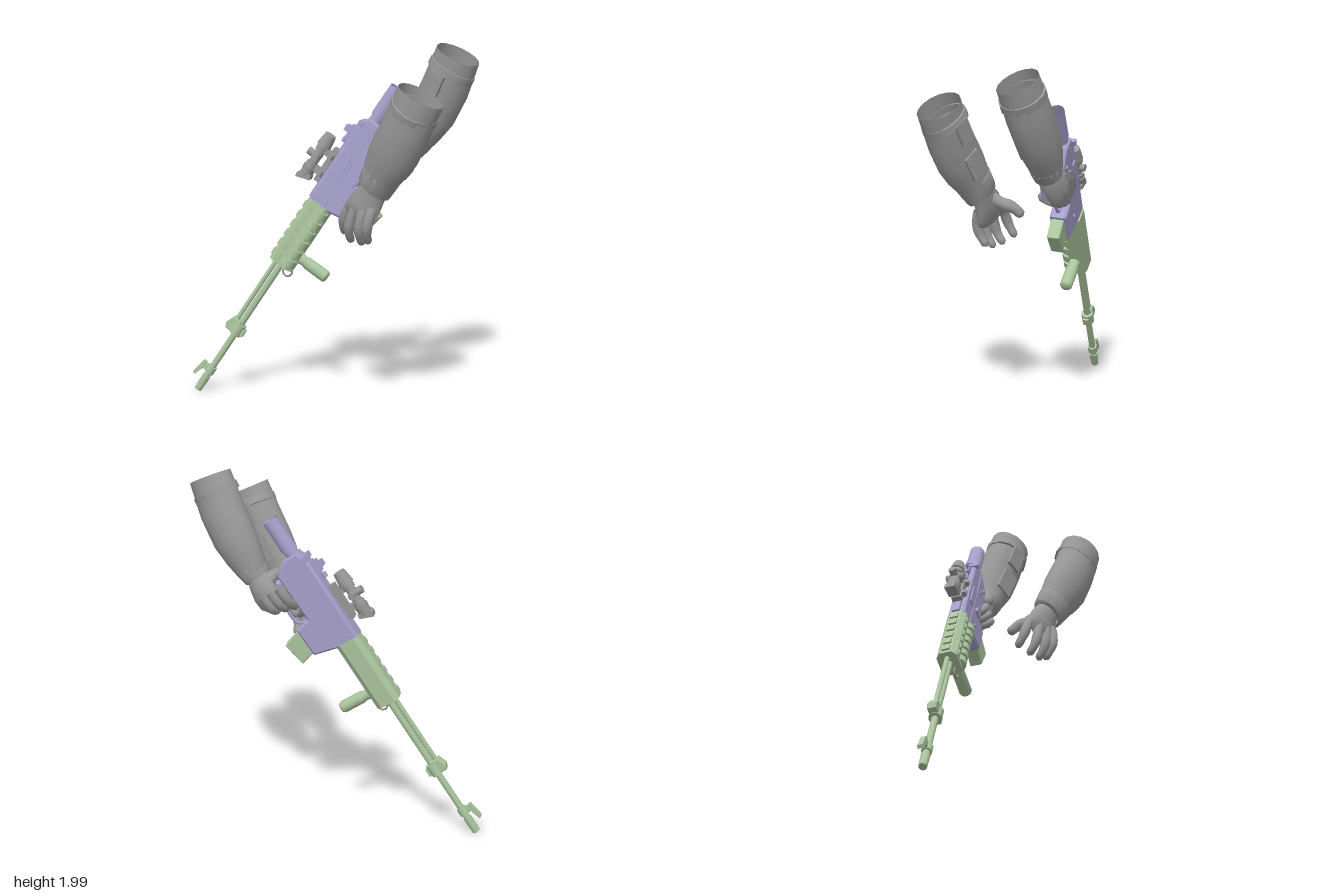
import * as THREE from 'three';
import { toCreasedNormals } from 'three/addons/utils/BufferGeometryUtils.js';

const V = (x, y, z) => new THREE.Vector3(x, y, z);

export function createModel() {
  const root = new THREE.Group();
  const mat = (name, color) => new THREE.MeshStandardMaterial({ name, color, side: THREE.DoubleSide });
  const green = mat('paleGreen', 0xabc59e);
  const violet = mat('paleViolet', 0xa7a1cc);
  const grey = mat('grey', 0x999999);

  // Rifle frame: x runs from the muzzle to the rear, y is the sight side, z the near side
  const gun = new THREE.Group();
  gun.name = 'rifle';
  const back = V(0.4846, 0.837, -0.2545).normalize();
  const side = back.clone().cross(V(-0.79, 0.545, 0.285)).normalize();
  const up = side.clone().cross(back);
  gun.applyMatrix4(new THREE.Matrix4().makeBasis(back, up, side).setPosition(-0.76, 0.02, 0.33));
  root.add(gun);

  const add = (parent, name, geo, m) => {
    const mesh = new THREE.Mesh(geo, m);
    mesh.name = name;
    parent.add(mesh);
    return mesh;
  };
  const box = (name, m, u0, u1, v0, v1, w0, w1) =>
    add(gun, name, new THREE.BoxGeometry(u1 - u0, v1 - v0, w1 - w0)
      .translate((u0 + u1) / 2, (v0 + v1) / 2, (w0 + w1) / 2), m);
  const rod = (name, m, u0, u1, v, r0, r1 = r0, w = 0, open = false) =>
    add(gun, name, new THREE.CylinderGeometry(r0, r1, u1 - u0, 16, 1, open)
      .rotateZ(Math.PI / 2).translate((u0 + u1) / 2, v, w), m);
  const outline = pts => new THREE.Shape(pts.map(p => new THREE.Vector2(...p)));
  const slab = (name, m, pts, half, bevel = 0) =>
    add(gun, name, toCreasedNormals(new THREE.ExtrudeGeometry(outline(pts), {
      depth: 2 * (half - bevel), bevelEnabled: bevel > 0, bevelSize: bevel, bevelThickness: bevel,
      bevelOffset: -bevel, bevelSegments: 1,
    }).translate(0, 0, bevel - half), 0.5), m);

  // Skin over oval rings [x, y, z, ra, rb]; rb lies towards ref
  function loft(parent, name, m, rings, ref = V(0, 0, 1), n = 14) {
    const pos = [], idx = [];
    const c = rings.map(r => V(r[0], r[1], r[2]));
    rings.forEach((r, i) => {
      const d = c[Math.min(i + 1, c.length - 1)].clone().sub(c[Math.max(i - 1, 0)]).normalize();
      const p = d.clone().cross(ref).normalize();
      const b = p.clone().cross(d);
      for (let j = 0; j < n; j++) {
        const a = (j / n) * Math.PI * 2;
        const q = c[i].clone().addScaledVector(p, r[3] * Math.cos(a)).addScaledVector(b, r[4] * Math.sin(a));
        pos.push(q.x, q.y, q.z);
        if (i < rings.length - 1) {
          const k = i * n + j, l = i * n + (j + 1) % n;
          idx.push(k, k + n, l, l, k + n, l + n);
        }
      }
    });
    const g = new THREE.BufferGeometry();
    g.setAttribute('position', new THREE.Float32BufferAttribute(pos, 3));
    g.setIndex(idx);
    g.computeVertexNormals();
    return add(parent, name, toCreasedNormals(g, 0.9), m);
  }
  // Tapered finger with a rounded tip and a slight swelling at the joints
  function finger(parent, name, pts, r, ref) {
    const curve = new THREE.CatmullRomCurve3(pts.map(p => V(...p)));
    const rings = [0, 0.12, 0.25, 0.38, 0.5, 0.62, 0.75, 0.87, 0.95, 1].map((t, i) => {
      const p = curve.getPointAt(t);
      const k = i === 9 ? 0.003 : r * (1 - 0.25 * t) * (i === 8 ? 0.8 : 1 + 0.08 * Math.cos(t * 12));
      return [p.x, p.y, p.z, k, k];
    });
    loft(parent, name, grey, rings, ref, 10);
  }
  // Raised strap around the forearm
  function band(parent, name, c, dir, ra, rb, h) {
    const d = V(...dir).normalize();
    const ring = (t, k) => [c[0] + d.x * t, c[1] + d.y * t, c[2] + d.z * t, ra * k, rb * k];
    loft(parent, name, grey, [ring(-h, 0.9), ring(-h * 0.95, 1), ring(h * 0.95, 1), ring(h, 0.9)]);
  }

  // Muzzle, barrel and gas tube
  rod('muzzleBrake', green, -0.012, 0.085, 0, 0.021, 0.024);
  rod('barrel', green, 0.08, 0.92, 0, 0.018);
  rod('gasTube', green, 0.42, 0.92, 0.034, 0.013);
  rod('frontCollar', green, 0.105, 0.15, 0, 0.027);
  box('frontSightBase', green, 0.11, 0.145, 0, 0.05, -0.012, 0.012);
  slab('frontSight', green, [[0.05, 0.062], [0.06, 0.078], [0.15, 0.062], [0.15, 0.045], [0.1, 0.045]], 0.014);
  rod('gasBlock', green, 0.385, 0.455, 0, 0.034);
  slab('gasBlockTop', green, [[0.39, 0], [0.39, 0.062], [0.42, 0.074], [0.47, 0.055], [0.47, 0]], 0.024, 0.005);
  box('gasBlockLug', green, 0.395, 0.44, -0.045, 0, -0.016, 0.016);

  // Handguard with chamfered section, rail teeth, vents and ribs
  const guard = outline([[-0.055, -0.042], [-0.055, 0.045], [-0.032, 0.07], [0.032, 0.07],
    [0.055, 0.045], [0.055, -0.042], [0.03, -0.07], [-0.03, -0.07]]);
  add(gun, 'handguard', new THREE.ExtrudeGeometry(guard, { depth: 0.41, bevelEnabled: false })
    .rotateY(Math.PI / 2).translate(0.88, 0, 0), green);
  for (let i = 0; i < 6; i++) {
    const u = 0.9 + i * 0.064;
    box('railTooth', green, u, u + 0.036, 0.068, 0.08, -0.022, 0.022);
    box('ventPlate', green, u, u + 0.045, 0.018, 0.036, 0.05, 0.062);
    add(gun, 'handguardRib', new THREE.CylinderGeometry(0.042, 0.042, 0.042, 12)
      .rotateZ(Math.PI / 2).translate(u + 0.025, -0.033, 0.034), green);
  }
  const loop = add(gun, 'slingLoop', new THREE.TorusGeometry(0.026, 0.006, 6, 14), grey);
  loop.position.set(0.87, -0.055, 0.02);
  add(gun, 'foregrip', new THREE.LatheGeometry([[0, -0.255], [0.026, -0.252], [0.034, -0.24],
    [0.034, -0.12], [0.028, -0.1], [0.034, -0.06]].map(p => new THREE.Vector2(...p)), 16)
    .translate(0.97, 0, 0), green);

  // Receiver, magazine well and magazine
  slab('receiver', violet, [[1.28, -0.06], [1.31, -0.2], [1.475, -0.205], [1.495, -0.118], [1.77, -0.125],
    [1.835, -0.045], [1.835, 0.04], [1.76, 0.066], [1.28, 0.066]], 0.046, 0.01);
  box('upperRail', violet, 1.29, 1.76, 0.06, 0.08, -0.02, 0.02);
  box('receiverSeam', violet, 1.3, 1.82, -0.028, -0.018, -0.051, 0.051);
  box('ejectionCover', violet, 1.45, 1.6, -0.01, 0.035, 0.042, 0.053);
  box('farSideCover', violet, 1.5, 1.68, -0.01, 0.03, -0.053, -0.042);
  box('boltCatch', violet, 1.47, 1.5, -0.1, -0.05, 0.042, 0.06);
  for (const [u, v] of [[1.54, -0.08], [1.68, -0.06], [1.74, -0.09], [1.38, -0.09]]) {
    add(gun, 'pin', new THREE.CylinderGeometry(0.011, 0.011, 0.108, 10).rotateX(Math.PI / 2).translate(u, v, 0), violet);
  }
  slab('magazine', green, [[1.325, -0.15], [1.465, -0.15], [1.46, -0.22], [1.43, -0.31], [1.295, -0.285], [1.318, -0.21]], 0.034, 0.005);
  slab('pistolGrip', violet, [[1.63, -0.11], [1.74, -0.11], [1.775, -0.2], [1.8, -0.29], [1.7, -0.3], [1.66, -0.2]], 0.034, 0.01);
  add(gun, 'triggerGuard', new THREE.TubeGeometry(new THREE.CatmullRomCurve3(
    [V(1.48, -0.12, 0), V(1.5, -0.185, 0), V(1.58, -0.195, 0), V(1.65, -0.15, 0)]), 16, 0.009, 6), violet);
  box('trigger', violet, 1.575, 1.59, -0.17, -0.11, -0.007, 0.007);

  // Rear sight, charging handle and stock tube
  box('rearSightBase', violet, 1.68, 1.75, 0.07, 0.095, -0.026, 0.026);
  for (const s of [-1, 1]) box('rearSightEar', violet, 1.7, 1.735, 0.09, 0.122, s * 0.018 - 0.005, s * 0.018 + 0.005);
  rod('sightKnob', violet, 1.64, 1.67, 0.09, 0.014);
  box('chargingHandle', violet, 1.77, 1.8, 0.045, 0.07, -0.06, 0.06);
  rod('stockTube', violet, 1.8, 1.87, 0.005, 0.037);
  rod('stockSleeve', violet, 1.865, 2.05, 0.005, 0.044, 0.042, 0, true);
  rod('stockInner', violet, 1.86, 1.88, 0.005, 0.04);

  // Scope and mount
  rod('scopeTube', grey, 1.38, 1.61, 0.165, 0.026);
  rod('scopeFrontBell', grey, 1.355, 1.42, 0.165, 0.03, 0.04);
  rod('scopeEyepiece', grey, 1.555, 1.63, 0.165, 0.042, 0.032);
  add(gun, 'scopeTurret', new THREE.CylinderGeometry(0.022, 0.022, 0.055, 12).translate(1.49, 0.195, 0), grey);
  add(gun, 'scopeSideTurret', new THREE.CylinderGeometry(0.02, 0.02, 0.1, 12).rotateX(Math.PI / 2).translate(1.49, 0.165, 0), grey);
  slab('scopeSunshade', grey, [[1.335, 0.2], [1.36, 0.205], [1.385, 0.19], [1.385, 0.13], [1.36, 0.125]], 0.03);
  box('scopeMount', grey, 1.38, 1.59, 0.078, 0.108, -0.028, 0.028);
  for (const u of [1.43, 1.54]) {
    box('mountPost', grey, u - 0.018, u + 0.018, 0.1, 0.165, -0.02, 0.02);
    rod('scopeRing', grey, u - 0.016, u + 0.016, 0.165, 0.034);
    rod('mountScrew', grey, u - 0.015, u + 0.015, 0.093, 0.016, 0.016, 0.035);
  }

  // Near arm, reaching down with an open hand
  const near = new THREE.Group();
  near.name = 'nearArm';
  root.add(near);
  loft(near, 'nearSleeve', grey, [[0.668, 1.775, 0.215, 0.129, 0.105], [0.584, 1.6, 0.225, 0.133, 0.105],
    [0.52, 1.49, 0.222, 0.138, 0.1], [0.47, 1.42, 0.218, 0.13, 0.09], [0.41, 1.335, 0.21, 0.105, 0.076]], undefined, 16);
  loft(near, 'nearCuff', grey, [[0.43, 1.36, 0.21, 0.1, 0.075], [0.425, 1.355, 0.21, 0.114, 0.082],
    [0.372, 1.275, 0.2, 0.1, 0.068], [0.368, 1.268, 0.2, 0.08, 0.05]]);
  loft(near, 'nearHand', grey, [[0.385, 1.29, 0.19, 0.07, 0.055], [0.34, 1.23, 0.19, 0.085, 0.05],
    [0.305, 1.17, 0.205, 0.102, 0.044], [0.285, 1.125, 0.215, 0.1, 0.034], [0.275, 1.1, 0.215, 0.06, 0.01]]);
  [[[0.235, 1.19, 0.19], [0.195, 1.14, 0.2], [0.165, 1.07, 0.195], [0.15, 1.0, 0.16]],
    [[0.27, 1.17, 0.21], [0.25, 1.12, 0.23], [0.225, 1.03, 0.225], [0.215, 0.97, 0.185]],
    [[0.325, 1.16, 0.215], [0.31, 1.11, 0.237], [0.297, 1.03, 0.23], [0.288, 0.965, 0.19]],
    [[0.37, 1.17, 0.22], [0.368, 1.12, 0.24], [0.35, 1.05, 0.238], [0.335, 0.98, 0.2]],
  ].forEach(p => finger(near, 'nearFinger', p, 0.03));
  finger(near, 'nearThumb', [[0.33, 1.25, 0.17], [0.3, 1.22, 0.12], [0.265, 1.2, 0.08], [0.225, 1.15, 0.04]], 0.036, V(1, 0, 0));
  band(near, 'nearStrap', [0.625, 1.69, 0.215], [0.5, 0.85, 0.12], 0.133, 0.118, 0.022);

  // Far arm, bent down to the pistol grip
  const far = new THREE.Group();
  far.name = 'farArm';
  root.add(far);
  loft(far, 'farSleeve', grey, [[0.58, 1.935, -0.235, 0.124, 0.1], [0.5, 1.76, -0.24, 0.132, 0.106],
    [0.425, 1.62, -0.235, 0.13, 0.102], [0.37, 1.53, -0.225, 0.11, 0.094], [0.325, 1.45, -0.21, 0.085, 0.08]], undefined, 16);
  loft(far, 'farCuff', grey, [[0.345, 1.48, -0.212, 0.08, 0.08], [0.34, 1.475, -0.212, 0.093, 0.088],
    [0.305, 1.42, -0.2, 0.08, 0.074], [0.3, 1.415, -0.2, 0.06, 0.055]]);
  loft(far, 'farHand', grey, [[0.31, 1.43, -0.2, 0.06, 0.058], [0.28, 1.385, -0.2, 0.075, 0.062],
    [0.24, 1.33, -0.21, 0.082, 0.05], [0.21, 1.28, -0.21, 0.07, 0.036], [0.195, 1.25, -0.21, 0.03, 0.01]]);
  band(far, 'farStrap', [0.54, 1.85, -0.235], [0.46, 0.88, -0.1], 0.132, 0.115, 0.022);
  [-0.135, -0.185, -0.235].forEach((v, i) => finger(gun, 'farFinger', [[1.73, v, -0.075], [1.65, v, -0.075],
    [1.595 + i * 0.015, v, -0.02], [1.61 + i * 0.015, v, 0.045], [1.68, v - 0.005, 0.06]], 0.03, V(0, 1, 0)));
  finger(gun, 'farThumb', [[1.78, -0.18, -0.05], [1.79, -0.15, 0.0], [1.76, -0.135, 0.05], [1.68, -0.14, 0.07]], 0.036, V(0, 1, 0));

  // Hanging strap pads and forearm plates on the inner side of each arm
  const plate = (parent, name, x, y, z, w, h, tilt) => {
    const m = add(parent, name, new THREE.BoxGeometry(w, h, 0.018), grey);
    m.position.set(x, y, z);
    m.rotation.set(0, 0, tilt);
  };
  plate(near, 'nearStrapPad', 0.6, 1.65, 0.105, 0.09, 0.12, -0.5);
  plate(near, 'nearWristPlate', 0.5, 1.46, 0.125, 0.1, 0.14, -0.55);
  plate(far, 'farStrapPad', 0.5, 1.78, -0.125, 0.09, 0.14, -0.45);
  plate(far, 'farWristPlate', 0.42, 1.6, -0.13, 0.1, 0.16, -0.5);
  return root;
}
